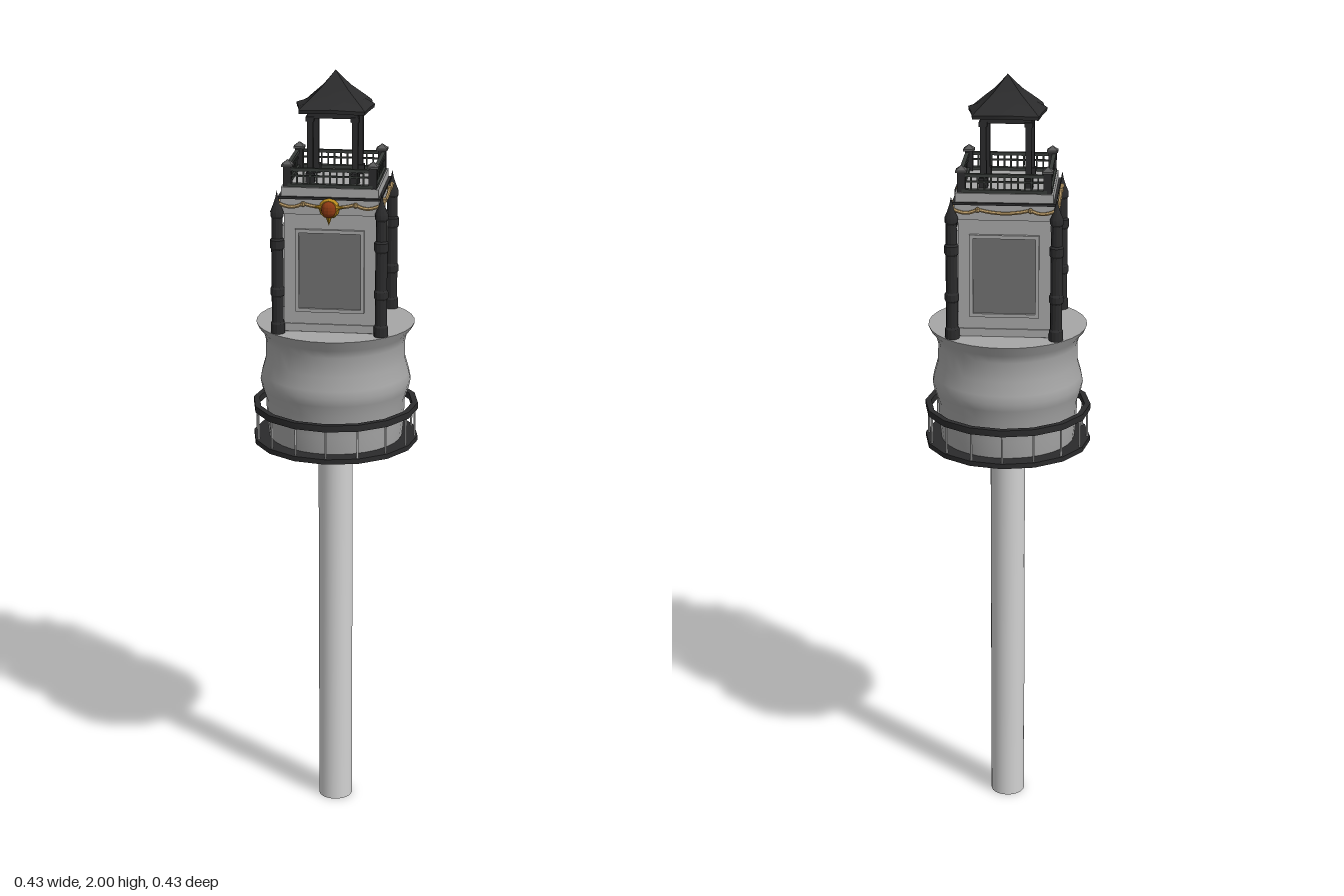
import * as THREE from 'three';
import { toCreasedNormals } from 'three/addons/utils/BufferGeometryUtils.js';

const paint = (name, color) => {
  const m = new THREE.MeshStandardMaterial({ color });
  m.name = name;
  return m;
};

export function createModel() {
  const pale = paint('pale grey', 0xd2d2d2);
  const stone = paint('stone grey', 0xa6a6a6);
  const glass = paint('window grey', 0x707070);
  const iron = paint('dark iron', 0x2b2b2c);
  const cap = paint('cap grey', 0x5a5a5a);
  const railPaint = paint('rail green grey', 0x383c39);
  const tan = paint('garland tan', 0xb99a66);
  const gold = paint('gold', 0xb8891c);
  const red = paint('rust red', 0x8c3a14);
  const model = new THREE.Group();
  model.name = 'tower';

  const add = (parent, name, geo, mat, x = 0, y = 0, z = 0) => {
    const mesh = new THREE.Mesh(toCreasedNormals(geo, 0.5), mat);
    mesh.name = name;
    mesh.position.set(x, y, z);
    parent.add(mesh);
    return mesh;
  };
  const box = (parent, name, w, h, d, mat, x, y, z) =>
    add(parent, name, new THREE.BoxGeometry(w, h, d), mat, x, y, z);
  const lathe = (parent, name, pts, seg, mat, x = 0, y = 0, z = 0) =>
    add(parent, name, new THREE.LatheGeometry(pts.map(p => new THREE.Vector2(...p)), seg), mat, x, y, z);
  const group = (name, parent = model) => {
    const g = new THREE.Group();
    g.name = name;
    parent.add(g);
    return g;
  };
  const corners = [[1, 1], [1, -1], [-1, -1], [-1, 1]];

  // Pole
  add(model, 'pole', new THREE.CylinderGeometry(0.045, 0.045, 1.05, 24), pale, 0, 0.525, 0);

  // Round body with a bulge and a flared rim
  lathe(model, 'roundBody', [
    [0, 1.045], [0.172, 1.045], [0.178, 1.1], [0.18, 1.155], [0.19, 1.185], [0.194, 1.205], [0.19, 1.225],
    [0.18, 1.26], [0.179, 1.31], [0.184, 1.33], [0.2, 1.35], [0.203, 1.358], [0, 1.36],
  ], 32, stone);

  // Round gallery: deck, top rail and balusters
  const gallery = group('gallery');
  add(gallery, 'galleryDeck', new THREE.CylinderGeometry(0.214, 0.214, 0.013, 16), iron, 0, 1.0465, 0);
  lathe(gallery, 'galleryRail', [
    [0.199, 1.126], [0.214, 1.126], [0.214, 1.143], [0.199, 1.143], [0.199, 1.126],
  ], 16, iron);
  for (let i = 0; i < 16; i++) {
    const a = i * Math.PI / 8;
    add(gallery, 'galleryBaluster', new THREE.CylinderGeometry(0.003, 0.003, 0.076, 6), pale,
      0.206 * Math.sin(a), 1.09, 0.206 * Math.cos(a));
  }

  // Square tower and its stepped cornice
  const tower = group('squareTower');
  box(tower, 'towerBody', 0.23, 0.31, 0.23, stone, 0, 1.513, 0);
  box(tower, 'towerPlinth', 0.238, 0.02, 0.238, stone, 0, 1.37, 0);
  box(tower, 'corniceLower', 0.246, 0.04, 0.246, stone, 0, 1.682, 0);
  box(tower, 'corniceEdge', 0.256, 0.006, 0.256, iron, 0, 1.704, 0);
  box(tower, 'corniceUpper', 0.242, 0.026, 0.242, stone, 0, 1.716, 0);

  // Four matching sides: window, garland and upper railing
  for (let i = 0; i < 4; i++) {
    const side = group('side', tower);
    side.rotation.y = i * Math.PI / 2;
    box(side, 'windowPane', 0.156, 0.194, 0.004, glass, 0, 1.518, 0.116);
    for (const s of [-1, 1]) {
      box(side, 'windowJamb', 0.009, 0.212, 0.012, stone, s * 0.082, 1.518, 0.118);
      box(side, 'windowBar', 0.164, 0.009, 0.012, stone, 0, 1.518 + s * 0.1015, 0.118);
    }

    const stops = [-0.125, -0.065, 0.065, 0.125];
    const path = [];
    for (let k = 0; k < 3; k++) {
      for (let j = 0; j < 6; j++) {
        const t = j / 6;
        path.push(new THREE.Vector3(stops[k] + (stops[k + 1] - stops[k]) * t,
          1.69 - 0.008 * Math.sin(Math.PI * t), 0.13));
      }
    }
    path.push(new THREE.Vector3(0.125, 1.69, 0.13));
    add(side, 'garland', new THREE.TubeGeometry(new THREE.CatmullRomCurve3(path), 36, 0.0045, 6), tan);
    for (const x of [-0.065, 0.065]) {
      add(side, 'garlandKnot', new THREE.SphereGeometry(0.007, 8, 6), tan, x, 1.69, 0.13);
    }

    box(side, 'railTop', 0.21, 0.008, 0.01, railPaint, 0, 1.772, 0.11);
    box(side, 'railMiddle', 0.21, 0.004, 0.006, railPaint, 0, 1.756, 0.11);
    box(side, 'railBottom', 0.21, 0.008, 0.014, railPaint, 0, 1.733, 0.11);
    for (let k = -5; k <= 5; k++) {
      box(side, 'railPicket', 0.004, 0.036, 0.004, railPaint, k * 0.0165, 1.752, 0.11);
    }
  }

  // Medallion on the front cornice
  const medallion = group('medallion');
  const disc = add(medallion, 'medallionRim', new THREE.CylinderGeometry(0.022, 0.026, 0.014, 12), gold, 0, 1.68, 0.134);
  disc.rotation.x = Math.PI / 2;
  const boss = add(medallion, 'medallionBoss', new THREE.SphereGeometry(0.019, 12, 8), red, 0, 1.68, 0.14);
  boss.scale.set(1, 1.1, 0.8);
  const drop = add(medallion, 'medallionDrop', new THREE.ConeGeometry(0.008, 0.022, 8), gold, 0, 1.65, 0.136);
  drop.rotation.x = Math.PI;
  for (const s of [-1, 1]) {
    const wing = add(medallion, 'medallionWing', new THREE.ConeGeometry(0.008, 0.02, 8), gold, s * 0.028, 1.685, 0.136);
    wing.rotation.z = -s * Math.PI / 2;
  }

  // Corner columns, upper railing posts and lantern posts
  for (const [sx, sz] of corners) {
    lathe(model, 'cornerColumn', [
      [0, 0], [0.018, 0], [0.018, 0.025], [0.015, 0.03], [0.015, 0.095], [0.018, 0.1], [0.018, 0.115],
      [0.015, 0.12], [0.015, 0.215], [0.018, 0.22], [0.018, 0.24], [0.014, 0.245], [0.0135, 0.295],
      [0.0165, 0.3], [0.0165, 0.312], [0.009, 0.33], [0.004, 0.345], [0, 0.365],
    ], 12, iron, sx * 0.13, 1.358, sz * 0.13);

    const post = group('railPost');
    post.position.set(sx * 0.106, 0, sz * 0.106);
    box(post, 'railPostShaft', 0.02, 0.054, 0.02, iron, 0, 1.754, 0);
    box(post, 'railPostPlate', 0.028, 0.005, 0.028, cap, 0, 1.782, 0);
    const tip = add(post, 'railPostCap', new THREE.ConeGeometry(0.019, 0.012, 4), cap, 0, 1.79, 0);
    tip.rotation.y = Math.PI / 4;

    box(model, 'lanternPost', 0.015, 0.18, 0.015, iron, sx * 0.056, 1.815, sz * 0.056);
    box(model, 'lanternPostBase', 0.022, 0.025, 0.022, iron, sx * 0.056, 1.74, sz * 0.056);
    box(model, 'lanternPostHead', 0.021, 0.012, 0.021, iron, sx * 0.056, 1.888, sz * 0.056);
  }
  for (const s of [-1, 1]) {
    box(model, 'lanternBeam', 0.127, 0.016, 0.014, iron, 0, 1.898, s * 0.056);
    box(model, 'lanternBeam', 0.014, 0.016, 0.127, iron, s * 0.056, 1.898, 0);
  }

  // Curved roof: rings of [mid-side reach, corner reach, mid height, corner height]
  const rings = [
    [0, 0, 1.903, 1.903], [0.066, 0.066, 1.903, 1.903], [0.097, 0.081, 1.909, 1.903],
    [0.098, 0.082, 1.918, 1.912], [0.068, 0.068, 1.928, 1.926],
    [0.035, 0.035, 1.957, 1.957], [0.018, 0.018, 1.977, 1.977], [0, 0, 2, 2],
  ];
  const pos = [], index = [], n = 16;
  for (const [mid, corner, yMid, yCorner] of rings) {
    for (let i = 0; i < n; i++) {
      const a = i * Math.PI * 2 / n;
      const m = Math.max(Math.abs(Math.sin(a)), Math.abs(Math.cos(a)));
      const t = [0, 0.6, 1, 0.6][i % 4];
      const reach = (mid + (corner - mid) * t) / m;
      pos.push(Math.sin(a) * reach, yMid + (yCorner - yMid) * t, Math.cos(a) * reach);
    }
  }
  for (let r = 0; r < rings.length - 1; r++) {
    for (let i = 0; i < n; i++) {
      const a = r * n + i, b = r * n + (i + 1) % n;
      index.push(a, b, b + n, a, b + n, a + n);
    }
  }
  const roof = new THREE.BufferGeometry();
  roof.setAttribute('position', new THREE.Float32BufferAttribute(pos, 3));
  roof.setIndex(index);
  add(model, 'lanternRoof', roof, iron);

  return model;
}
